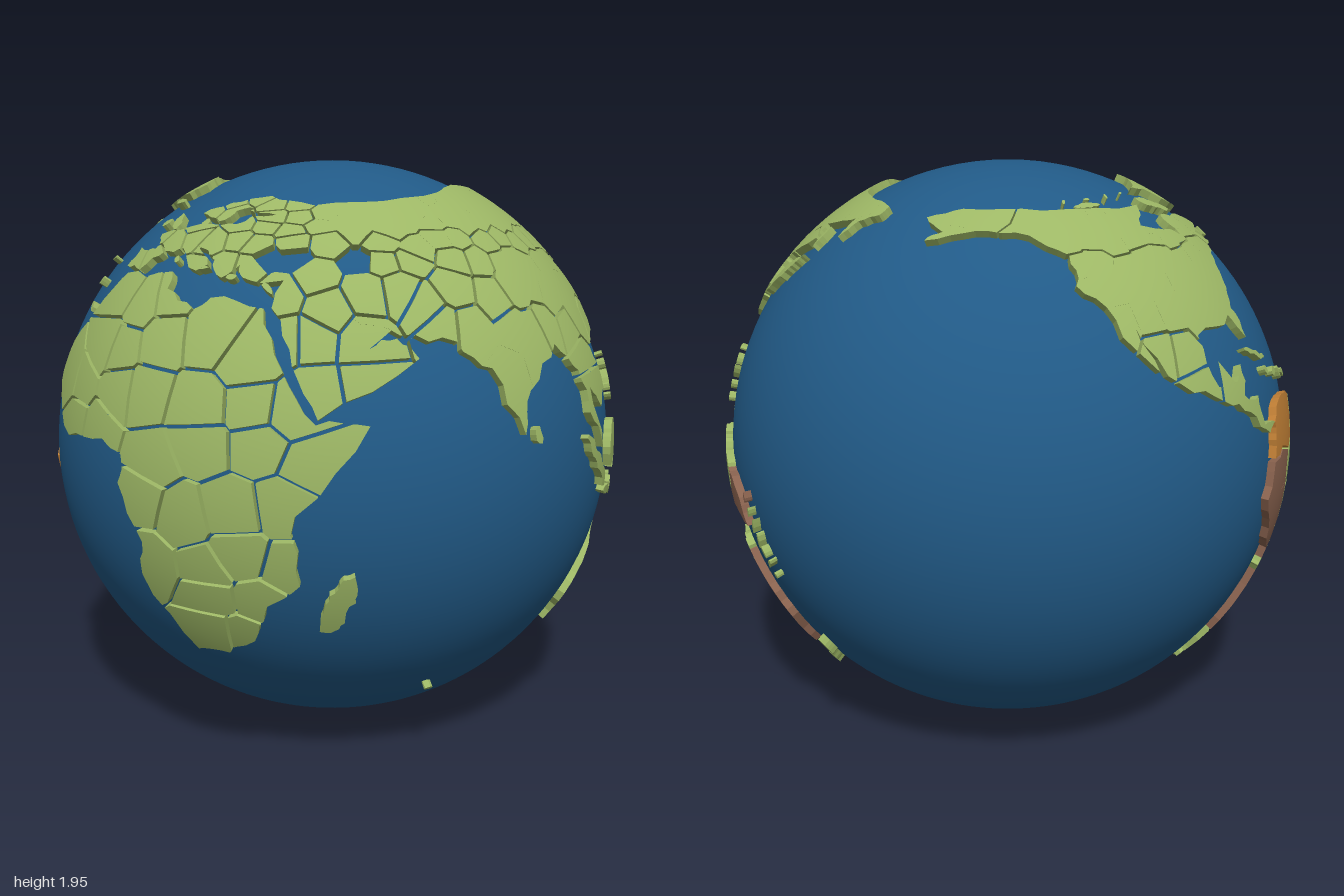
import * as THREE from 'three';

const SEA_R = 0.973, LAND_R = 0.999, CENTRE_Y = 0.973, HALF_GAP = 0.33;
const SEA = 0x215a87, GREEN = 0x9db765, ORANGE = 0xc07f35, BROWN = 0x8a634f;

// Bending of the map onto the ball: [longitude, turn] and [latitude, rise], in degrees
const TURN = [[-163, -173], [-124, -134], [-80, -91], [-35, -48.5], [10, -0.5], [77, 75.5], [150, 149], [180, 162]];
const RISE = [[-55, -51], [-12, -11.5], [0, 2], [15, 17], [37, 40], [50, 49.5], [70, 60], [84, 67]];

// Large countries as colour, west, east, south, north; all other land is cut into small ones
const REALMS = [
  [GREEN, 42, 190, 50, 80], [GREEN, 82, 125, 27, 43], [GREEN, 70, 88, 8, 27], [GREEN, 54, 82, 42, 50],
  [GREEN, -170, -141, 50, 75], [GREEN, -141, -50, 49, 75], [GREEN, -126, -66, 29, 49],
  [ORANGE, -56, -34, -34, 2], [ORANGE, -78, -62, 2, 13], [BROWN, -82, -69, -40, 0], [GREEN, -69, -56, -56, -20],
  [GREEN, 110, 139.5, -48, -17], [BROWN, 139.5, 152, -46, -3]];

// Coastlines as longitude, latitude
const AFRICA = [-6, 35.8, 10, 37.2, 11, 33.8, 19, 30.4, 22, 32.7, 33, 31.2, 37.3, 21, 43, 12, 51.2, 11.8, 40, -3, 40.5, -15,
  35, -20, 32.8, -27, 26, -34, 19, -34.6, 12, -17, 13.5, -10, 9, -1, 9.7, 4, 4.5, 6, -7.6, 4.4, -17, 13, -16.5, 21, -10, 30];
const EURASIA = [34.5, 31.3, 36, 36.5, 27.5, 36.8, 26, 40.5, 22.8, 36.6, 19.4, 41.5, 13, 45.3, 18.2, 40, 16, 38, 9, 44.3,
  3.2, 43, -2, 36.8, -9, 37.2, -9, 43.2, -1.5, 43.5, -4.5, 48.3, 8.5, 54, 9.5, 57.5, 11, 54.2, 20, 54.7, 23.5, 59.2,
  30, 60, 21.5, 62, 24, 65.5, 17.3, 61.5, 14, 55.6, 5.5, 59.5, 13, 66, 25.5, 71, 40, 65.5, 68, 69.5, 104, 77.5,
  140, 72.5, 180, 69, 179, 64, 163, 59.5, 157, 51, 156, 60.5, 137, 54, 140, 48, 128, 40, 128, 35, 124, 40, 118, 39,
  121.5, 31, 114, 22.5, 107, 20.5, 109, 12, 105, 9, 100.5, 13.5, 104, 1.4, 98.5, 9, 97, 17, 91, 22.5, 80.3, 15.5,
  77.6, 8.1, 72.8, 20, 67, 25, 57, 26.5, 48.5, 30, 51.5, 24.3, 56.4, 26, 59.8, 22.5, 43.3, 12.8, 39, 21.5];
const NORTH_AMERICA = [-168, 65.6, -156.5, 71.2, -128, 70.3, -85, 69, -94, 59, -82, 55, -79, 51.5, -78, 62, -65, 60,
  -56, 52.5, -66, 50, -61, 46, -70, 43, -76, 36, -81, 31, -80.5, 25.2, -84, 30, -97.5, 28, -96, 18.8, -91, 18.5, -87, 21.3,
  -88.5, 16, -83.3, 15, -82.5, 9.3, -77.3, 8.6, -80.5, 7.3, -87.6, 12.8, -95, 16, -105.5, 20.5, -113, 31, -110, 23.2,
  -117, 32.7, -124.3, 40.3, -124, 49, -134, 58, -150, 60, -164.5, 54.6, -160, 59];
const SOUTH_AMERICA = [-77.3, 8.6, -72, 12, -62, 10.6, -51, 4, -48, -0.8, -35.3, -5.5, -39, -14, -41.5, -22.5, -48.7, -27,
  -57, -36, -66, -46, -66, -54.7, -74, -52, -73.5, -38, -70.3, -18.5, -76.2, -14, -81.2, -5, -77.5, 4];
const AUSTRALIA = [140, -17.2, 146.5, -26.5, 151, -34, 147, -44.3, 144, -45.5, 136, -41.3, 129, -38, 113, -41, 111, -32.5,
  119.5, -24.5, 128.5, -18.5, 134, -18.7, 138, -24];
const GREENLAND = [-44, 60, -53.5, 67, -58, 75.5, -72, 78, -32, 83.5, -20, 77, -24, 70, -40, 65];
const NEW_GUINEA = [131, -0.8, 138, -1.8, 147.5, -6, 150.5, -10.4, 141, -9, 138, -6, 132, -3];

// Oval islands as longitude, latitude, half length, half width, tilt
const ISLANDS = {
  madagascar: [46.8, -19, 7, 2.3, 70], britain: [-2.5, 54.5, 4.5, 1.6, 115], ireland: [-8, 53.2, 2, 1.3, 70],
  iceland: [-18.5, 65, 4.5, 1.4, 0], japan: [137, 37, 7.5, 1.3, 45], sakhalin: [142.8, 50, 4, 0.7, 95],
  sumatra: [101, 0, 7.5, 1.5, -47], java: [110, -7.3, 4.5, 0.7, -10], borneo: [114, 1.2, 5.5, 3.2, 45],
  sulawesi: [121, -2, 3.5, 1, 70], ceylon: [80.8, 7.7, 1.6, 0.9, 100], tasmania: [143.5, -49, 1.7, 1.4, 0],
  northIsle: [175.8, -39, 2.8, 1.3, 110], southIsle: [170.5, -43.8, 3.8, 1.2, 42], cuba: [-79, 22, 4.5, 0.6, -18],
  newfoundland: [-56, 48.8, 2.5, 1.7, 0], baffin: [-74, 68, 9, 2.6, -35], victoria: [-109, 72, 6, 1.6, 0],
  southernIsle: [69.3, -49.3, 1.1, 0.6, 0] };
// Island chains as first and last longitude, latitude, then the number of islands
const CHAINS = [[116, -8.5, 126, -9, 3], [121, 17, 125, 7.5, 5], [152, -5, 168, -19, 7], [-76, 18.2, -62, 15, 4],
  [128, 1, 130, -4, 3], [9, 41, 33, 35, 4], [-118, 75, -85, 77, 4], [-25, 38, -15, 28, 3]];

const rad = THREE.MathUtils.degToRad;
let seed = 7;
const rand = () => (seed = (seed * 16807) % 2147483647) / 2147483647;
const dist = (a, b) => Math.hypot(a[0] - b[0], a[1] - b[1]);
const mix = (a, b, t) => [a[0] + (b[0] - a[0]) * t, a[1] + (b[1] - a[1]) * t];
const cross = (a, b, c) => (b[0] - a[0]) * (c[1] - a[1]) - (b[1] - a[1]) * (c[0] - a[0]);
const pairs = (n) => Array.from({ length: n.length / 2 }, (_, i) => [n[2 * i], n[2 * i + 1]]);

function bend(table, v) {
  let i = 1;
  while (i < table.length - 1 && v > table[i][0]) i++;
  const [a, b] = table[i - 1], [c, d] = table[i];
  return b + (d - b) * (v - a) / (c - a);
}
function onBall([lon, lat], r) {
  const t = rad(bend(TURN, lon)), p = rad(bend(RISE, lat));
  return new THREE.Vector3(Math.cos(p) * Math.sin(t), Math.sin(p), Math.cos(p) * Math.cos(t)).multiplyScalar(r);
}
// Ragged coast: long edges get a displaced middle point
function ragged(poly) {
  return poly.flatMap((a, i) => {
    const b = poly[(i + 1) % poly.length], d = dist(a, b);
    if (d < 1.6) return [a];
    const m = mix(a, b, 0.5), k = (rand() - 0.5) * 0.32 * Math.min(d, 6) / d;
    return [a, [m[0] - (b[1] - a[1]) * k, m[1] + (b[0] - a[0]) * k]];
  });
}
function inside(p, poly) {
  let hit = false;
  poly.forEach((a, i) => {
    const b = poly[(i + 1) % poly.length];
    if ((a[1] > p[1]) !== (b[1] > p[1]) && p[0] < (b[0] - a[0]) * (p[1] - a[1]) / (b[1] - a[1]) + a[0]) hit = !hit;
  });
  return hit;
}
// Keeps the part of an outline nearer to p than to q, less half a border groove
function clip(poly, p, q, gap) {
  const d = dist(p, q), m = mix(p, q, 0.5), out = [];
  const side = (v) => ((v[0] - m[0]) * (p[0] - q[0]) + (v[1] - m[1]) * (p[1] - q[1])) / d - gap;
  poly.forEach((a, i) => {
    const b = poly[(i + 1) % poly.length], sa = side(a), sb = side(b);
    if (sa >= 0) out.push(a);
    if ((sa >= 0) !== (sb >= 0)) out.push(mix(a, b, sa / (sa - sb)));
  });
  return out;
}

// Raised slab: curved cap plus walls down into the sea
function addSlab(poly, whole, out) {
  const contour = poly.filter((p, i) => dist(p, poly[(i + 1) % poly.length]) > 1e-4).map((p) => new THREE.Vector2(...p));
  if (contour.length < 3) return;
  if (THREE.ShapeUtils.isClockWise(contour)) contour.reverse();
  const ring = contour.map((v) => [v.x, v.y]);
  const put = (v, n) => { out.pos.push(v.x, v.y, v.z); out.nor.push(n.x, n.y, n.z); };
  const cap = (a, b, c, depth) => {
    const e = [dist(a, b), dist(b, c), dist(c, a)], k = e.indexOf(Math.max(...e));
    if (e[k] > 6 && depth < 14) {
      const [p, q, r] = [[a, b, c], [b, c, a], [c, a, b]][k], m = mix(p, q, 0.5);
      cap(p, m, r, depth + 1);
      cap(m, q, r, depth + 1);
      return;
    }
    for (const v of [a, b, c].map((x) => onBall(x, LAND_R))) put(v, v.clone().normalize());
  };
  for (const [i, j, k] of THREE.ShapeUtils.triangulateShape(contour, [])) {
    const [a, b, c] = [ring[i], ring[j], ring[k]];
    if (cross(a, b, c) > 0) cap(a, b, c, 0); else cap(a, c, b, 0);
  }
  ring.forEach((a, i) => {
    const b = ring[(i + 1) % ring.length], d = dist(a, b), m = mix(a, b, 0.5);
    const nx = -(b[1] - a[1]) / d * 0.03, ny = (b[0] - a[0]) / d * 0.03;
    if (!inside([m[0] + nx, m[1] + ny], whole) && !inside([m[0] - nx, m[1] - ny], whole)) return;
    const steps = Math.ceil(d / 5);
    for (let s = 0; s < steps; s++) {
      const p = mix(a, b, s / steps), q = mix(a, b, (s + 1) / steps);
      const [pl, ql, qt, pt] = [onBall(p, 0.96), onBall(q, 0.96), onBall(q, LAND_R), onBall(p, LAND_R)];
      const n = ql.clone().sub(pl).cross(pt.clone().sub(pl)).normalize();
      for (const v of [pl, ql, qt, pl, qt, pt]) put(v, n);
    }
  });
}

// Country centres: a shaken grid over the land, kept clear of inland seas
function centres(poly, spacing, lakes) {
  const xs = poly.map((p) => p[0]), ys = poly.map((p) => p[1]), out = [];
  for (let y = Math.min(...ys); y < Math.max(...ys); y += spacing)
    for (let x = Math.min(...xs); x < Math.max(...xs); x += spacing) {
      const p = [x + (0.2 + rand() * 0.6) * spacing, y + (0.2 + rand() * 0.6) * spacing];
      if (inside(p, poly) && lakes.every((l) => dist(l, p) > 4.5)) out.push(p);
    }
  return out;
}

// Land mass cut into countries around their centres, one mesh per colour
function land(name, coast, spacing = 0, lakes = []) {
  const whole = ragged(ragged(coast)), group = new THREE.Group(), byColor = new Map();
  group.name = name;
  const middle = coast.reduce((s, p) => [s[0] + p[0] / coast.length, s[1] + p[1] / coast.length], [0, 0]);
  const cells = (spacing ? centres(whole, spacing, lakes) : [middle]).map((p, i) => {
    const realm = REALMS.find(([, w, e, s, n]) => p[0] > w && p[0] < e && p[1] > s && p[1] < n);
    return { p, id: realm || i, color: realm ? realm[0] : GREEN };
  });
  for (const c of cells) {
    let poly = whole;
    for (const o of cells) if (o !== c) poly = clip(poly, c.p, o.p, o.id === c.id ? 0 : HALF_GAP);
    for (const l of lakes) poly = clip(poly, c.p, l, 0);
    if (!byColor.has(c.color)) byColor.set(c.color, { pos: [], nor: [] });
    addSlab(poly, whole, byColor.get(c.color));
  }
  for (const [color, { pos, nor }] of byColor) {
    const g = new THREE.BufferGeometry();
    g.setAttribute('position', new THREE.Float32BufferAttribute(pos, 3));
    g.setAttribute('normal', new THREE.Float32BufferAttribute(nor, 3));
    const mesh = new THREE.Mesh(g, new THREE.MeshStandardMaterial({ color }));
    mesh.name = name + 'Land';
    group.add(mesh);
  }
  return group;
}

function oval(lon, lat, l, w, tilt) {
  const c = Math.cos(rad(tilt)), s = Math.sin(rad(tilt));
  return Array.from({ length: 9 }, (_, i) => {
    const a = i / 9 * Math.PI * 2, k = 0.8 + rand() * 0.4, x = Math.cos(a) * l * k, y = Math.sin(a) * w * k;
    return [lon + x * c - y * s, lat + x * s + y * c];
  });
}

export function createModel() {
  seed = 7;
  const globe = new THREE.Group();
  globe.name = 'globe';
  globe.position.y = CENTRE_Y;
  const sea = new THREE.Mesh(new THREE.SphereGeometry(SEA_R, 96, 64), new THREE.MeshStandardMaterial({ color: SEA }));
  sea.name = 'sea';

  // Continents
  globe.add(sea,
    land('africa', pairs(AFRICA), 9),
    land('eurasia', pairs(EURASIA), 7, [[31, 43.2], [37, 43.2], [51, 42]]),
    land('northAmerica', pairs(NORTH_AMERICA), 7),
    land('southAmerica', pairs(SOUTH_AMERICA), 7),
    land('australia', pairs(AUSTRALIA), 6),
    land('newGuinea', pairs(NEW_GUINEA), 4),
    land('greenland', pairs(GREENLAND)));

  // Islands
  for (const [name, shape] of Object.entries(ISLANDS)) globe.add(land(name, oval(...shape)));
  for (const [x0, y0, x1, y1, count] of CHAINS)
    for (let i = 0; i < count; i++) {
      const [x, y] = mix([x0, y0], [x1, y1], i / (count - 1));
      globe.add(land('islet', oval(x, y, 1 + rand(), 0.5 + rand() * 0.3, rand() * 180)));
    }

  const model = new THREE.Group();
  model.add(globe);
  return model;
}
